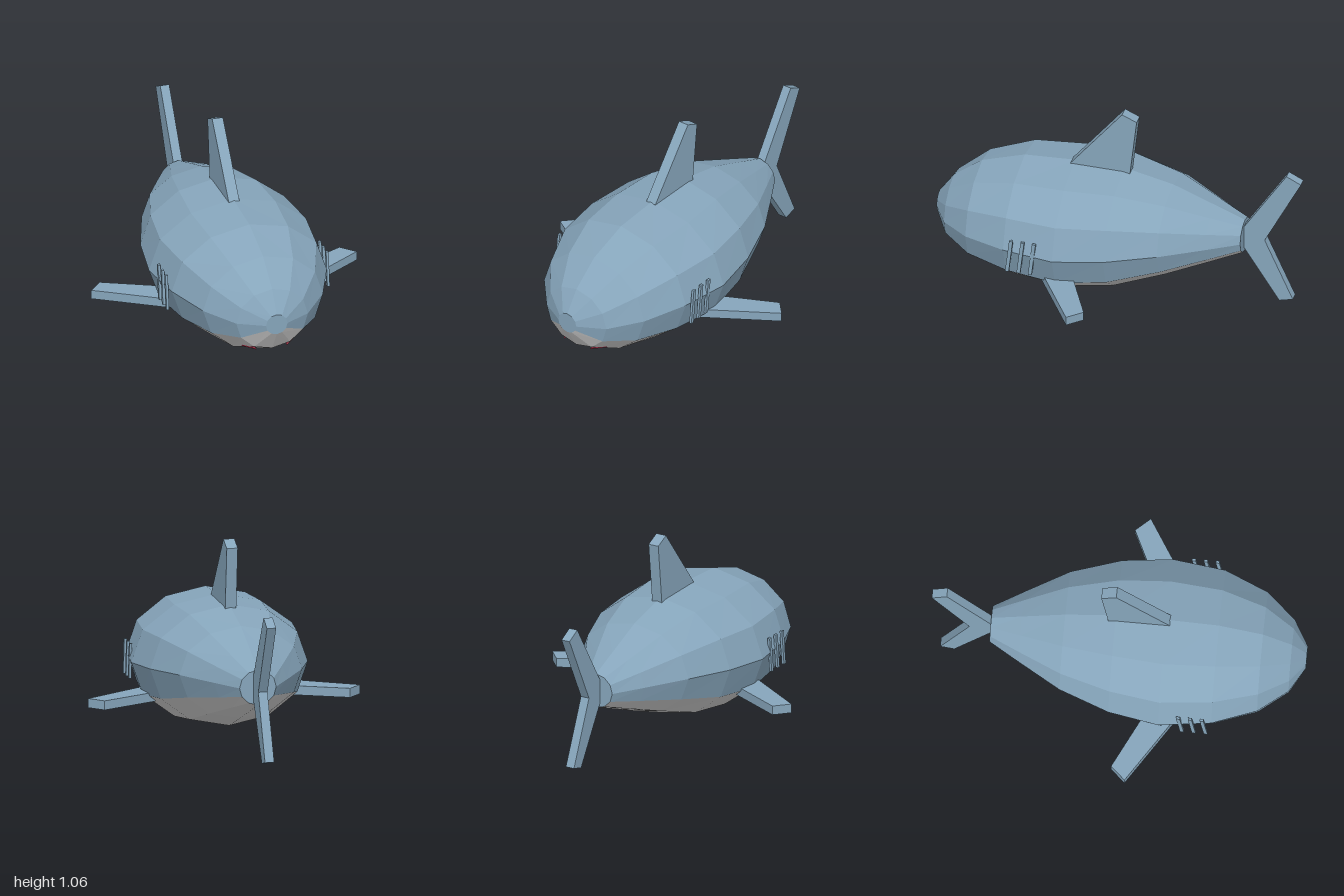
import * as THREE from 'three';
import { ConvexGeometry } from 'three/addons/geometries/ConvexGeometry.js';

const SIDES = 12;
// Body cross-sections, nose to tail: z, top y, bottom y, half width
const RINGS = [
  [1.0, 0.375, 0.26, 0.06],
  [0.92, 0.49, 0.14, 0.2],
  [0.765, 0.61, 0.065, 0.335],
  [0.53, 0.688, 0.025, 0.433],
  [0.25, 0.705, 0.003, 0.47],
  [-0.02, 0.704, 0.045, 0.43],
  [-0.29, 0.645, 0.145, 0.335],
  [-0.52, 0.555, 0.235, 0.2],
  [-0.685, 0.49, 0.3, 0.1],
];

const material = (color) => new THREE.MeshStandardMaterial({ color, flatShading: true });

function ringPoint(ring, j) {
  const [z, top, bottom, w] = ring;
  const a = (j / SIDES) * Math.PI * 2;
  return [w * Math.sin(a), (top + bottom) / 2 + ((top - bottom) / 2) * Math.cos(a), z];
}

// Strips of the hull between side indices from and to, with optional end caps
function hull(from, to, caps) {
  const pos = [];
  const tri = (...points) => points.forEach((p) => pos.push(...p));
  for (let i = 0; i < RINGS.length - 1; i++) {
    for (let j = from; j < to; j++) {
      const a = ringPoint(RINGS[i], j), b = ringPoint(RINGS[i], j + 1);
      const c = ringPoint(RINGS[i + 1], j + 1), d = ringPoint(RINGS[i + 1], j);
      tri(a, b, d);
      tri(b, c, d);
    }
  }
  if (caps) {
    const first = RINGS[0], last = RINGS[RINGS.length - 1];
    const centre = (r) => [0, (r[1] + r[2]) / 2, r[0]];
    for (let j = 0; j < SIDES; j++) {
      tri(centre(first), ringPoint(first, j + 1), ringPoint(first, j));
      tri(centre(last), ringPoint(last, j), ringPoint(last, j + 1));
    }
  }
  const geo = new THREE.BufferGeometry();
  geo.setAttribute('position', new THREE.Float32BufferAttribute(pos, 3));
  geo.computeVertexNormals();
  return geo;
}

function slab(points, depth) {
  const shape = new THREE.Shape(points.map(([x, y]) => new THREE.Vector2(x, y)));
  return new THREE.ExtrudeGeometry(shape, { depth, bevelEnabled: false });
}

// Upright plate from a [z, y] outline, centred on x
const uprightFin = (points, thickness, x = 0) =>
  slab(points, thickness).rotateY(-Math.PI / 2).translate(x + thickness / 2, 0, 0);

export function createModel() {
  const group = new THREE.Group();
  const blue = material(0x86a5bb);
  const grey = material(0xcccccc);
  const red = material(0xb83a52);
  const add = (name, geo, mat) => {
    const mesh = new THREE.Mesh(geo, mat);
    mesh.name = name;
    group.add(mesh);
  };

  // Hull in two colours
  add('back', hull(-4, 4, true), blue);
  add('belly', hull(4, 8, false), grey);

  // Dorsal fin and forked tail
  add('dorsalFin', uprightFin(
    [[0.27, 0.7], [-0.015, 1.06], [-0.095, 1.025], [-0.055, 0.66], [0.24, 0.66]], 0.06), blue);
  add('tailFin', uprightFin(
    [[-0.66, 0.43], [-0.685, 0.46], [-0.92, 0.825], [-1, 0.785], [-0.8, 0.395],
      [-0.955, 0.045], [-0.88, 0.025], [-0.685, 0.33], [-0.66, 0.36]], 0.05), blue);

  for (const [side, s] of [['left', 1], ['right', -1]]) {
    // Pectoral fin, a flat swept slab
    const fin = slab([[0.27, 0.395], [0.742, 0.096], [0.67, 0.018], [0.27, 0.21]]
      .map(([x, z]) => [s * x, z]), 0.05);
    add(side + 'PectoralFin', fin.rotateX(Math.PI / 2).translate(0, 0.205, 0), blue);

    // Three slanted gill bars
    for (let i = 0; i < 3; i++) {
      const z = 0.49 - i * 0.063;
      const bar = uprightFin([[z + 0.022, 0.24], [z + 0.002, 0.24],
        [z - 0.02, 0.435], [z, 0.435]], 0.014, s * 0.449);
      add(side + 'Gill' + (i + 1), bar, blue);
    }

    // Small red wedge under the snout
    const wedge = [[0.084, 0.14, 0.914], [0.147, 0.14, 0.842], [0.137, 0.166, 0.875], [0.09, 0.165, 0.84]]
      .map(([x, y, z]) => new THREE.Vector3(s * x, y, z));
    add(side + 'MouthCorner', new ConvexGeometry(wedge), red);
  }
  return group;
}
